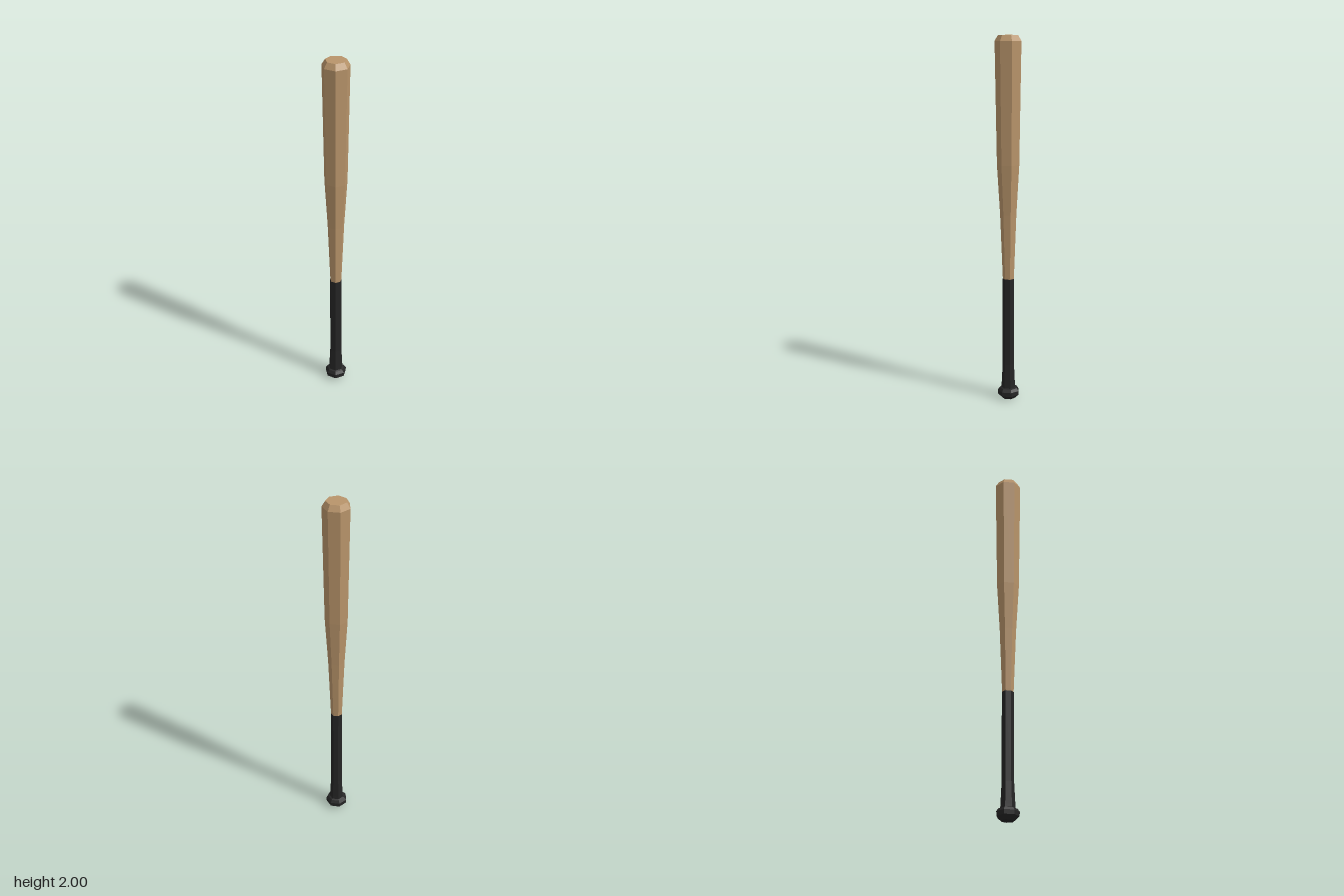
import * as THREE from 'three';

const SIDES = 7;

export function createModel() {
  const group = new THREE.Group();
  group.name = 'bat';

  const wood = new THREE.MeshStandardMaterial({ color: 0xb8946a, flatShading: true });
  wood.name = 'wood';
  const grip = new THREE.MeshStandardMaterial({ color: 0x252525, flatShading: true });
  grip.name = 'black grip';

  // Seven-sided turned part from [radius, height] points, one corner towards -x
  function turned(name, profile, material) {
    const points = profile.map(([r, y]) => new THREE.Vector2(r, y));
    const mesh = new THREE.Mesh(new THREE.LatheGeometry(points, SIDES, -Math.PI / 2), material);
    mesh.name = name;
    mesh.position.x = 0.0035; // centres the odd-sided outline
    group.add(mesh);
  }

  // Tapered barrel with a bevelled, flat end
  turned('barrel', [
    [0.031, 0.68], [0.032, 0.7], [0.046, 1.05], [0.0625, 1.32],
    [0.0733, 1.97], [0.055, 2], [0, 2],
  ], wood);

  // Handle wrap, flaring towards the knob and closed at its upper lip
  turned('handleGrip', [
    [0.041, 0.05], [0.039, 0.08], [0.033, 0.2], [0.033, 0.69], [0, 0.69],
  ], grip);

  // Rounded knob at the foot
  turned('knob', [
    [0, 0], [0.036, 0], [0.06, 0.022], [0.061, 0.045], [0.05, 0.06], [0.038, 0.064],
  ], grip);

  return group;
}
